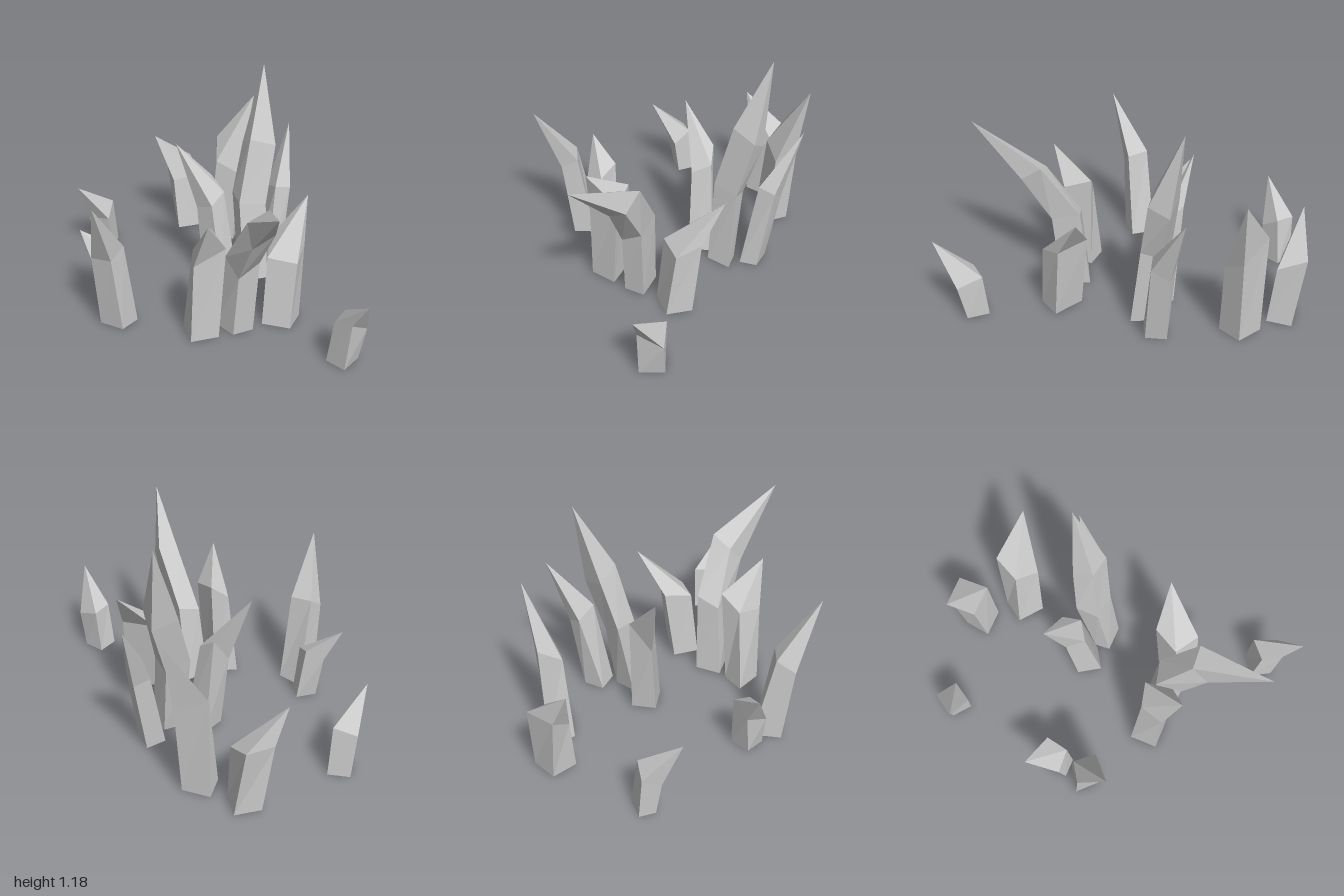
import * as THREE from 'three';

// Faceted crystal: four-cornered rings (left, front, right, back) joined upward to a tip, open underneath
function crystal(name, tip, base, ...rings) {
  const levels = [base.map(([x, z]) => [x, 0, z]), ...rings];
  const pos = [];
  levels.forEach((low, l) => {
    const up = levels[l + 1];
    for (let i = 0; i < 4; i++) {
      const j = (i + 1) % 4;
      if (up) pos.push(...low[i], ...low[j], ...up[j], ...low[i], ...up[j], ...up[i]);
      else pos.push(...low[i], ...low[j], ...tip);
    }
  });
  const geo = new THREE.BufferGeometry();
  geo.setAttribute('position', new THREE.Float32BufferAttribute(pos, 3));
  geo.computeVertexNormals();
  const mesh = new THREE.Mesh(geo, material);
  mesh.name = name;
  return mesh;
}

const material = new THREE.MeshStandardMaterial({ color: 0xcccccc, flatShading: true, side: THREE.DoubleSide });

export function createModel() {
  const group = new THREE.Group();
  group.name = 'crystalCluster';

  // Back row
  group.add(crystal('backRightCrystal', [-0.82, 0.58, -0.45],
    [[-0.76, -0.56], [-0.66, -0.46], [-0.57, -0.58], [-0.67, -0.67]],
    [[-0.8, 0.39, -0.53], [-0.7, 0.31, -0.47], [-0.595, 0.34, -0.6], [-0.73, 0.4, -0.67]]));
  group.add(crystal('backCrystal', [-0.31, 0.87, -0.745],
    [[-0.505, -0.63], [-0.46, -0.5], [-0.31, -0.54], [-0.36, -0.67]],
    [[-0.505, 0.59, -0.645], [-0.43, 0.49, -0.54], [-0.3, 0.43, -0.58], [-0.34, 0.5, -0.7]]));
  group.add(crystal('backMiddleCrystal', [-0.025, 0.8, -0.68],
    [[-0.06, -0.41], [0.05, -0.37], [0.08, -0.46], [-0.02, -0.515]],
    [[-0.06, 0.46, -0.52], [0.04, 0.5, -0.455], [0.085, 0.48, -0.535], [0, 0.42, -0.58]]));

  // Tallest crystal, bent at two levels
  group.add(crystal('tallCrystal', [-0.09, 1.185, -0.51],
    [[-0.06, -0.24], [0.01, -0.195], [0.095, -0.305], [0, -0.34]],
    [[-0.145, 0.48, -0.3], [-0.045, 0.47, -0.225], [0.055, 0.45, -0.335], [-0.05, 0.41, -0.38]],
    [[-0.135, 0.76, -0.38], [-0.04, 0.82, -0.315], [0.055, 0.775, -0.42], [-0.04, 0.71, -0.475]]));

  // Middle crystals
  group.add(crystal('middleRightCrystal', [-0.36, 0.8, -0.075],
    [[-0.2, -0.1], [-0.065, -0.09], [-0.055, -0.22], [-0.19, -0.23]],
    [[-0.25, 0.43, -0.11], [-0.145, 0.47, -0.105], [-0.14, 0.52, -0.21], [-0.235, 0.59, -0.225]]));
  group.add(crystal('middleLeftCrystal', [0.37, 0.64, -0.255],
    [[0.27, -0.04], [0.325, 0.09], [0.47, 0.04], [0.44, -0.095]],
    [[0.25, 0.43, -0.09], [0.325, 0.39, 0.05], [0.47, 0.375, -0.01], [0.43, 0.42, -0.14]]));

  // Strongly bent crystal leaning outward
  group.add(crystal('bentCrystal', [0.67, 0.925, 0.49],
    [[0.125, 0.23], [0.26, 0.26], [0.315, 0.16], [0.17, 0.095]],
    [[0.17, 0.42, 0.21], [0.295, 0.36, 0.265], [0.355, 0.43, 0.165], [0.22, 0.46, 0.095]],
    [[0.34, 0.7, 0.26], [0.41, 0.6, 0.32], [0.49, 0.67, 0.235], [0.405, 0.75, 0.165]]));

  // Front crystals
  group.add(crystal('frontMiddleCrystal', [0.235, 0.72, 0.44],
    [[0, 0.35], [0.12, 0.44], [0.21, 0.32], [0.095, 0.265]],
    [[0.055, 0.48, 0.33], [0.14, 0.46, 0.435], [0.235, 0.53, 0.29], [0.1, 0.57, 0.23]]));
  group.add(crystal('frontCrystal', [-0.235, 0.8, 0.74],
    [[-0.365, 0.43], [-0.375, 0.58], [-0.24, 0.56], [-0.235, 0.445]],
    [[-0.36, 0.5, 0.53], [-0.365, 0.43, 0.63], [-0.25, 0.44, 0.61], [-0.24, 0.49, 0.52]]));
  group.add(crystal('frontRightCrystal', [-0.605, 0.43, 0.455],
    [[-0.49, 0.41], [-0.41, 0.48], [-0.35, 0.4], [-0.42, 0.32]],
    [[-0.53, 0.25, 0.4], [-0.445, 0.19, 0.495], [-0.375, 0.27, 0.405], [-0.46, 0.32, 0.325]]));

  // Small outlying crystals on both sides
  group.add(crystal('rightSideCrystal', [-0.935, 0.43, 0.11],
    [[-0.99, -0.1], [-0.955, -0.02], [-0.845, -0.05], [-0.885, -0.15]],
    [[-1, 0.25, -0.08], [-0.955, 0.19, 0.01], [-0.84, 0.2, -0.025], [-0.88, 0.27, -0.115]]));
  group.add(crystal('leftSideCrystal', [1, 0.43, 0.2],
    [[0.765, 0.045], [0.765, 0.165], [0.88, 0.18], [0.885, 0.05]],
    [[0.79, 0.25, 0.04], [0.8, 0.25, 0.165], [0.91, 0.28, 0.185], [0.925, 0.2, 0.055]]));

  return group;
}
